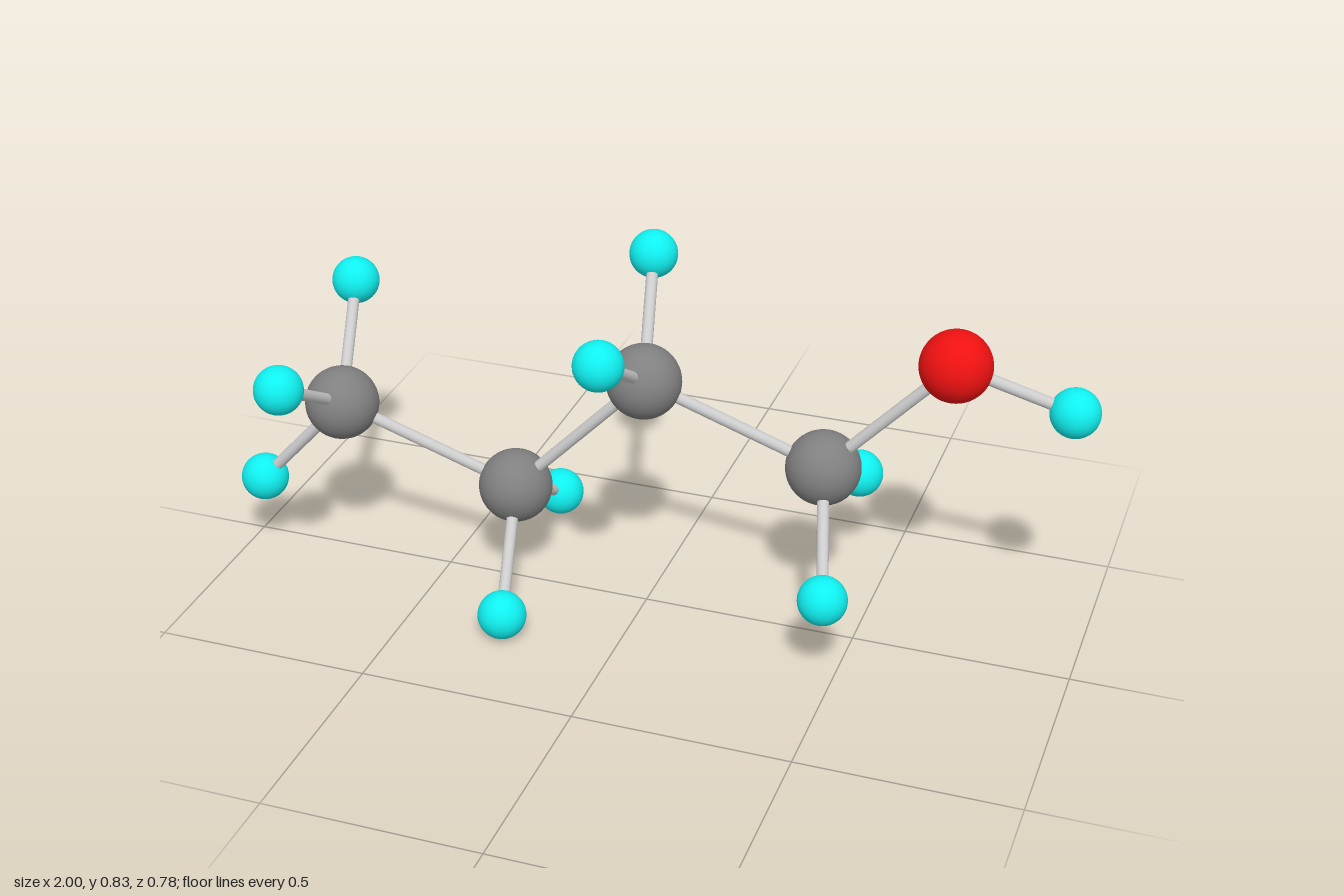
import * as THREE from 'three';

// Ball types: radius and material
const kinds = {
  carbon: { radius: 0.086, color: 0x808080 },
  oxygen: { radius: 0.081, color: 0xee1111 },
  hydrogen: { radius: 0.056, color: 0x10f0f0 },
};
const BOND_RADIUS = 0.0135;

// Each atom: kind, position, index of the atom it is bonded to
const atoms = [
  ['carbon', [-0.73, 0.43, 0.062], -1],
  ['carbon', [-0.32, 0.257, 0.01], 0],
  ['carbon', [-0.008, 0.577, -0.004], 1],
  ['carbon', [0.40, 0.403, -0.057], 2],
  ['oxygen', [0.682, 0.70, -0.07], 3],
  ['hydrogen', [0.942, 0.615, -0.102], 4],
  // end group
  ['hydrogen', [-0.945, 0.195, 0.07], 0],
  ['hydrogen', [-0.798, 0.625, -0.184], 0],
  ['hydrogen', [-0.744, 0.595, 0.335], 0],
  // pairs along the chain
  ['hydrogen', [-0.316, 0.09, -0.265], 1],
  ['hydrogen', [-0.262, 0.058, 0.253], 1],
  ['hydrogen', [-0.07, 0.775, -0.25], 2],
  ['hydrogen', [-0.016, 0.745, 0.266], 2],
  ['hydrogen', [0.418, 0.243, -0.332], 3],
  ['hydrogen', [0.473, 0.213, 0.188], 3],
];

// Thin rod between two points
function makeBond(a, b, material) {
  const dir = b.clone().sub(a);
  const geometry = new THREE.CylinderGeometry(BOND_RADIUS, BOND_RADIUS, dir.length(), 20);
  const bond = new THREE.Mesh(geometry, material);
  bond.position.copy(a).lerp(b, 0.5);
  bond.quaternion.setFromUnitVectors(new THREE.Vector3(0, 1, 0), dir.normalize());
  return bond;
}

export function createModel() {
  const model = new THREE.Group();
  model.name = 'molecule';

  const bondMaterial = new THREE.MeshStandardMaterial({ color: 0xcccccc });
  for (const kind of Object.values(kinds)) {
    kind.geometry = new THREE.SphereGeometry(kind.radius, 40, 28);
    kind.material = new THREE.MeshStandardMaterial({ color: kind.color });
  }

  atoms.forEach(([name, position, parent], i) => {
    const { geometry, material } = kinds[name];
    const ball = new THREE.Mesh(geometry, material);
    ball.name = `${name}Ball${i + 1}`;
    ball.position.set(...position);
    model.add(ball);

    if (parent >= 0) {
      const start = new THREE.Vector3(...atoms[parent][1]);
      const bond = makeBond(start, ball.position, bondMaterial);
      bond.name = `bond${parent + 1}to${i + 1}`;
      model.add(bond);
    }
  });

  return model;
}
